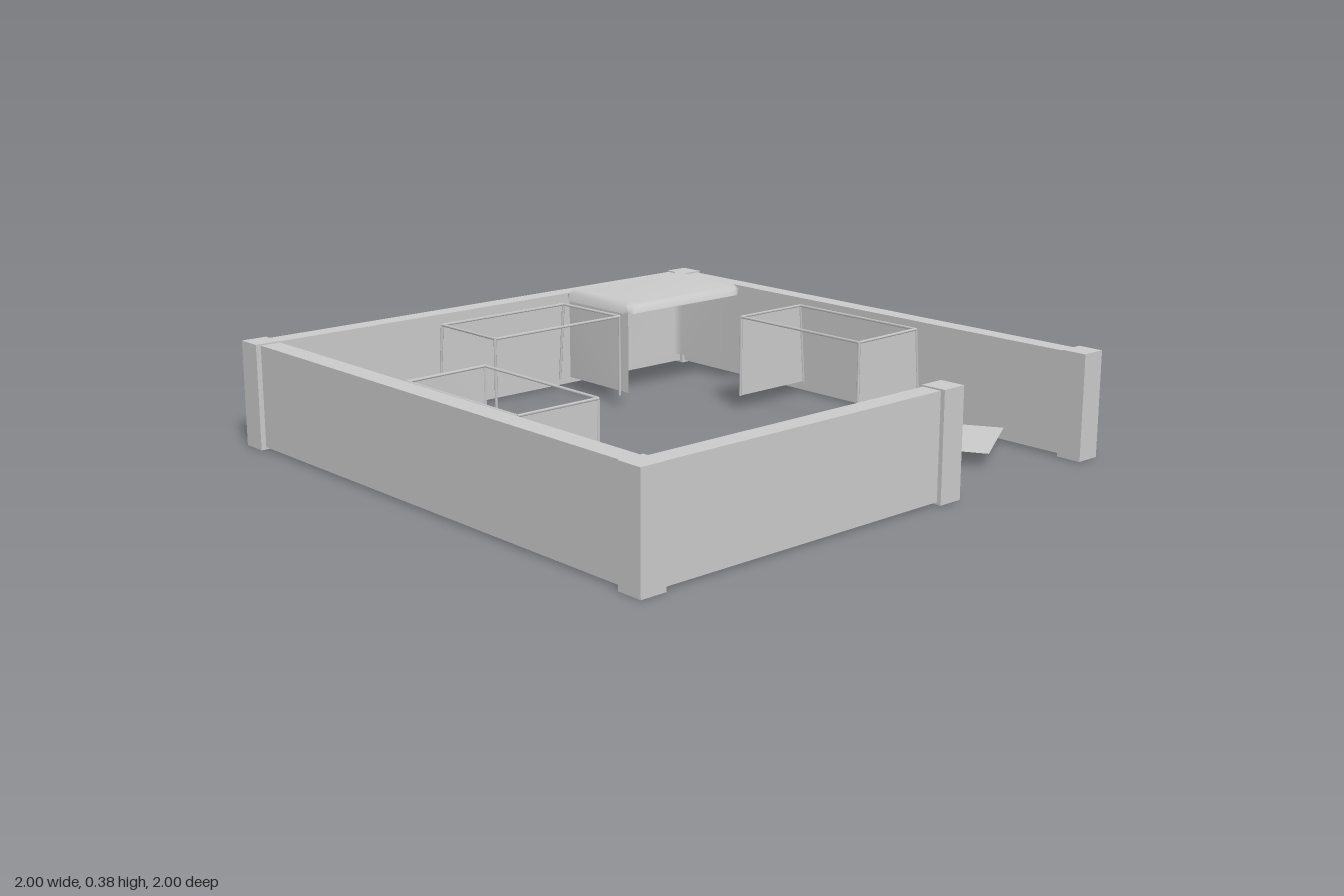
import * as THREE from 'three';

const mat = new THREE.MeshStandardMaterial({ color: 0xcccccc });
const thin = new THREE.MeshStandardMaterial({ color: 0xcccccc, side: THREE.DoubleSide });
const FLOOR = 0.05, TOP = 0.34;

function add(parent, name, geometry, material = mat) {
  const mesh = new THREE.Mesh(geometry, material);
  mesh.name = name;
  parent.add(mesh);
  return mesh;
}

// Box given by its limits
function block(parent, name, x0, x1, y0, y1, z0, z1) {
  const geo = new THREE.BoxGeometry(x1 - x0, y1 - y0, z1 - z0);
  geo.translate((x0 + x1) / 2, (y0 + y1) / 2, (z0 + z1) / 2);
  add(parent, name, geo);
}

// Thin rod between two points
function rod(parent, name, a, b, r = 0.005) {
  const dir = b.clone().sub(a);
  const mesh = add(parent, name, new THREE.CylinderGeometry(r, r, dir.length(), 5));
  mesh.position.copy(a).lerp(b, 0.5);
  mesh.quaternion.setFromUnitVectors(new THREE.Vector3(0, 1, 0), dir.normalize());
}

// Flat four-cornered sheet
function sheet(parent, name, a, b, c, d) {
  const geo = new THREE.BufferGeometry().setFromPoints([a, b, c, d]);
  geo.setIndex([0, 1, 2, 0, 2, 3]);
  geo.computeVertexNormals();
  add(parent, name, geo, thin);
}

// Stall frame: local x along its length, local +z is the open front.
// Back legs splay and one front corner stands slightly out of square.
function stall(parent, name, length, depth, endPanels) {
  const g = new THREE.Group();
  g.name = name;
  const h = length / 2, f = depth / 2;
  const tops = [], feet = [];
  for (const [sx, sz] of [[-1, 1], [1, 1], [1, -1], [-1, -1]]) {
    const x = sx * h + (sx > 0 && sz > 0 ? 0.01 : 0);
    tops.push(new THREE.Vector3(x, TOP, sz * f));
    feet.push(new THREE.Vector3(x, FLOOR, sz < 0 ? -f - 0.025 : f));
  }
  for (let i = 0; i < 4; i++) {
    rod(g, 'topRail', tops[i], tops[(i + 1) % 4]);
    rod(g, 'leg', feet[i], tops[i]);
  }
  if (endPanels) {
    sheet(g, 'endPanel', feet[0], tops[0], tops[3], feet[3]);
    sheet(g, 'endPanel', feet[1], feet[2], tops[2], tops[1]);
  }
  parent.add(g);
  return g;
}

// Cloth-covered stall: padded roof with curtains on the back and both ends
function coveredStall(parent) {
  const g = new THREE.Group();
  g.name = 'coveredStall';
  const hx = 0.285, hz = 0.18;

  // Roof: few rows with soft normals, raised ridges near the ends, chamfered corners
  const us = [-1, -0.97, -0.9, -0.8, 0.8, 0.9, 0.97, 1];
  const rise = [0, 0.032, 0.044, 0.034, 0.034, 0.044, 0.032, 0];
  const vs = [-1, -0.95, -0.88, 0.86, 0.95, 1];
  const lift = [0, 0.7, 1, 1, 0.7, 0];
  const roof = new THREE.PlaneGeometry(1, 1, us.length - 1, vs.length - 1);
  const p = roof.attributes.position;
  for (let i = 0; i < p.count; i++) {
    const c = i % us.length, r = Math.floor(i / us.length);
    const cut = Math.abs(us[c] * vs[r]) > 0.93 ? 0.012 : 0;
    const x = us[c] * hx - Math.sign(us[c]) * cut;
    const z = vs[r] * hz - Math.sign(vs[r]) * cut;
    p.setXYZ(i, x, TOP + rise[c] * lift[r], z);
  }
  roof.computeVertexNormals();
  add(g, 'roof', roof, thin);

  // Curtain hung round three sides, softly shaded across the back corners
  const cx = hx - 0.003, cz = hz - 0.004, b = 0.02;
  const path = [[-cx, cz], [-cx, -cz + b], [-cx + b, -cz], [cx - b, -cz], [cx, -cz + b], [cx, cz]];
  const curtain = new THREE.PlaneGeometry(1, 1, path.length - 1, 1);
  const q = curtain.attributes.position;
  for (let i = 0; i < q.count; i++) {
    const [x, z] = path[i % path.length];
    q.setXYZ(i, x, i < path.length ? TOP + 0.005 : FLOOR, z);
  }
  curtain.computeVertexNormals();
  add(g, 'curtain', curtain, thin);
  parent.add(g);
  return g;
}

export function createModel() {
  const model = new THREE.Group();
  model.name = 'walledMarket';

  // Walls
  const y0 = 0.008, y1 = 0.355;
  block(model, 'backWall', -0.91, 0.91, y0, y1, -0.995, -0.925);
  block(model, 'leftWall', 0.915, 0.982, y0, y1, -0.925, 0.915);
  block(model, 'rightWall', -0.982, -0.91, y0, y1, -0.925, 0.915);
  block(model, 'frontWall', -0.91, 0.21, y0, y1, 0.915, 0.985);

  // Corner and gate posts
  for (const [x, z] of [[-0.955, -0.955], [0.95, -0.955], [-0.955, 0.955], [0.95, 0.955], [0.25, 0.955]]) {
    block(model, 'post', x - 0.045, x + 0.045, 0, 0.36, z - 0.045, z + 0.045);
  }

  // Stalls along the walls
  const back = stall(model, 'backStall', 0.545, 0.305, false);
  back.position.set(-0.037, 0, -0.68);
  const right = stall(model, 'rightStall', 0.55, 0.303, true);
  right.position.set(-0.723, 0, 0.05);
  right.rotation.y = Math.PI / 2;
  const left = stall(model, 'leftStall', 0.555, 0.303, true);
  left.position.set(0.714, 0, 0.047);
  left.rotation.y = -Math.PI / 2;
  coveredStall(model).position.set(0.57, 0, -0.705);

  // Ground mats
  for (const [x, z, deg] of [[-0.725, 0.597, 0], [0.06, 0.667, 0], [0.685, 0.62, 30], [-0.655, -0.675, -31]]) {
    const mesh = add(model, 'groundMat', new THREE.PlaneGeometry(0.335, 0.335).rotateX(-Math.PI / 2), thin);
    mesh.position.set(x, FLOOR, z);
    mesh.rotation.y = THREE.MathUtils.degToRad(deg);
  }
  return model;
}
